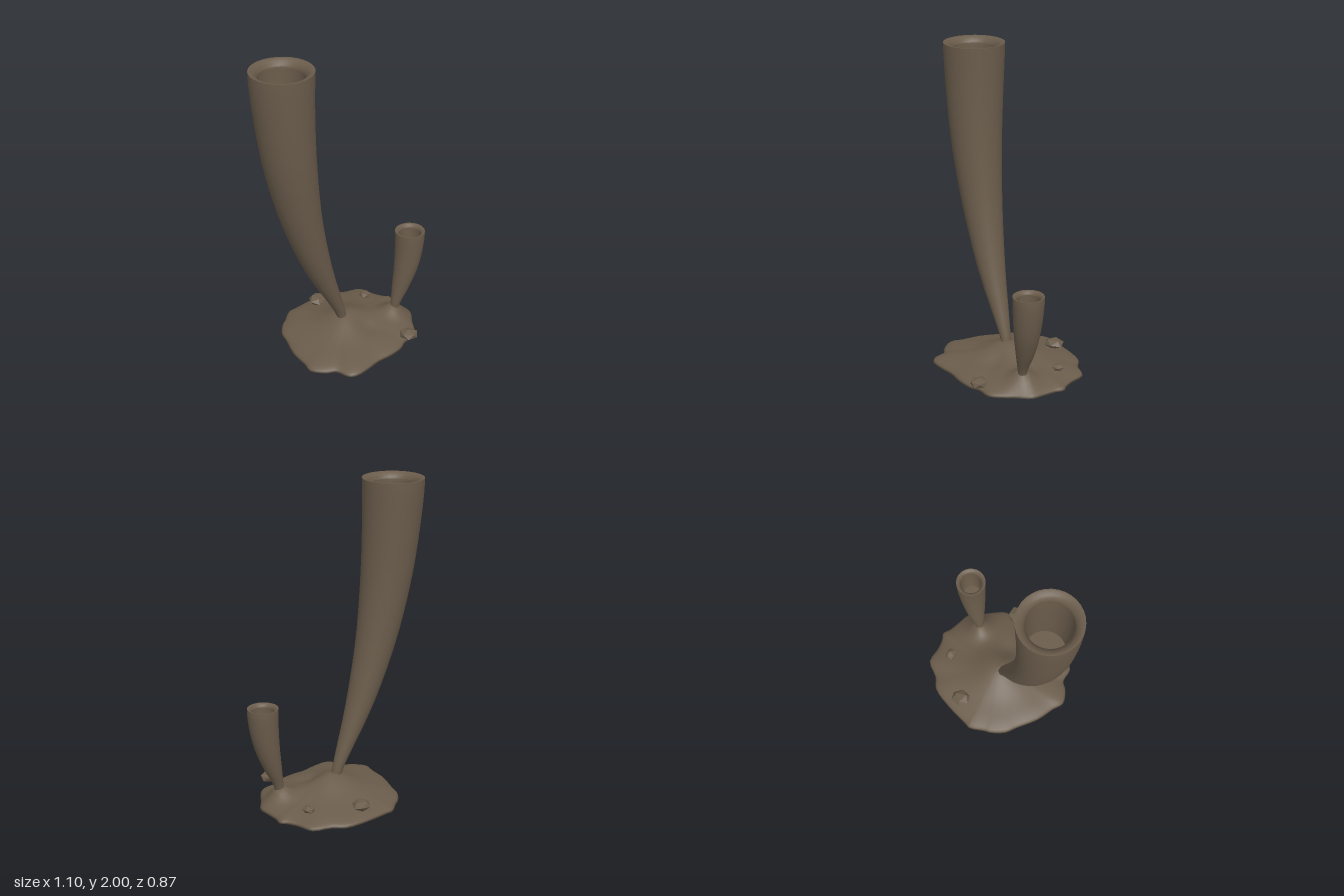
import * as THREE from 'three';

const SEG = 32;

// Skin between closed rings of points; faces point outward when rings run upward.
function loft(rings) {
  const n = rings[0].length, pos = [], index = [];
  rings.forEach((ring) => ring.forEach((p) => pos.push(p.x, p.y, p.z)));
  for (let i = 0; i < rings.length - 1; i++) {
    for (let j = 0; j < n; j++) {
      const k = (j + 1) % n;
      const a = i * n + j, b = i * n + k, c = a + n, d = b + n;
      index.push(a, c, b, b, c, d);
    }
  }
  const geo = new THREE.BufferGeometry();
  geo.setAttribute('position', new THREE.Float32BufferAttribute(pos, 3));
  geo.setIndex(index);
  geo.computeVertexNormals();
  return geo;
}

function circle(c, y, r) {
  return Array.from({ length: SEG }, (_, j) => {
    const a = (j / SEG) * Math.PI * 2;
    return new THREE.Vector3(c.x + r * Math.cos(a), y, c.z + r * Math.sin(a));
  });
}

// Curved horn; stations are [x, y, z, radius] from base to mouth.
function makeHorn(name, stations, material) {
  const path = new THREE.CatmullRomCurve3(stations.map((s) => new THREE.Vector3(s[0], s[1], s[2])));
  const width = new THREE.CatmullRomCurve3(stations.map((s) => new THREE.Vector3(s[3], s[1], 0)));
  const section = (t, k) => {
    const p = path.getPoint(t);
    return circle(p, p.y, width.getPoint(t).x * k);
  };
  const top = path.getPoint(1), R = width.getPoint(1).x;
  const wall = [], inside = [];
  for (let i = 0; i <= 24; i++) wall.push(section(i / 24, 1));
  // Rounded lip running from the outer edge into the mouth
  const lip = [[1, 0], [0.93, 0], [0.83, 0.05], [0.75, 0.14], [0.72, 0.25]]
    .map(([k, drop]) => circle(top, top.y - drop * R, R * k));
  // Hollow and its floor
  inside.push(lip[lip.length - 1]);
  for (let i = 1; i <= 10; i++) inside.push(section(0.94 - i * 0.034, 0.72));
  const floor = [inside[inside.length - 1], section(0.6, 0.001)];

  const horn = new THREE.Group();
  horn.name = name;
  [['outerWall', wall], ['lip', lip], ['hollow', inside], ['hollowFloor', floor]].forEach(([part, rings]) => {
    const mesh = new THREE.Mesh(loft(rings), material);
    mesh.name = part;
    horn.add(mesh);
  });
  return horn;
}

// Height of the mound's upper surface; t is 0 at the middle and 1 at the edge.
function moundHeight(x, z, t) {
  const bump = (cx, cz, h, w) => h * Math.exp(-((x - cx) ** 2 + (z - cz) ** 2) / (w * w));
  return 0.045 + 0.07 * Math.sqrt(Math.max(0, 1 - t * t))
    + bump(0.07, -0.01, 0.085, 0.17) + bump(0.365, 0.16, 0.08, 0.09) * (1 - t ** 8)
    + bump(0.1, 0.13, -0.03, 0.08);
}

function makeMound(material) {
  const outline = [
    [0, -0.437], [0.04, -0.43], [0.21, -0.4], [0.345, -0.355], [0.4, -0.29], [0.5, -0.225],
    [0.51, -0.12], [0.528, -0.05], [0.55, -0.01], [0.528, 0.04], [0.51, 0.12], [0.49, 0.2],
    [0.41, 0.27], [0.36, 0.32], [0.29, 0.37], [0.2, 0.36], [0.13, 0.378], [0.03, 0.37],
    [-0.07, 0.345], [-0.17, 0.34], [-0.26, 0.325], [-0.3, 0.29], [-0.31, 0.2], [-0.355, 0.16],
    [-0.4, 0.07], [-0.37, 0], [-0.33, -0.12], [-0.25, -0.25], [-0.21, -0.32], [-0.13, -0.38], [-0.09, -0.395],
  ];
  const edge = new THREE.CatmullRomCurve3(outline.map(([x, z]) => new THREE.Vector3(x, 0, z)), true)
    .getPoints(93).slice(0, 93);
  const cx = 0.07, cz = -0.01;
  const ring = (t, height) => edge.map((p) => {
    const x = cx + (p.x - cx) * t, z = cz + (p.z - cz) * t;
    return new THREE.Vector3(x, height(x, z, t), z);
  });
  const rings = [];
  // Shallow underside, then the rounded edge and the top
  [0.001, 0.3, 0.6, 0.8, 0.93, 1].forEach((t) => rings.push(ring(t, () => 0.045 * t * t)));
  [0.985, 0.96, 0.92, 0.86].forEach((t) => rings.push(ring(t, moundHeight)));
  for (let i = 16; i >= 1; i--) rings.push(ring(i * 0.05, moundHeight));
  rings.push(ring(0.001, moundHeight));
  const mesh = new THREE.Mesh(loft(rings), material);
  mesh.name = 'mound';
  return mesh;
}

export function createModel() {
  const model = new THREE.Group();
  model.name = 'hornsOnMound';
  const earth = new THREE.MeshStandardMaterial({ color: 0x6a5c4b });
  earth.name = 'earthBrown';

  model.add(makeMound(earth));

  model.add(makeHorn('tallHorn', [
    [0.04, 0.12, -0.018, 0.026], [0.028, 0.2, -0.022, 0.032], [-0.14, 0.6, -0.063, 0.085],
    [-0.26, 1, -0.095, 0.125], [-0.332, 1.4, -0.115, 0.157], [-0.36, 1.75, -0.128, 0.177],
    [-0.366, 1.94, -0.132, 0.186], [-0.366, 2, -0.132, 0.187],
  ], earth));

  model.add(makeHorn('shortHorn', [
    [0.36, 0.12, 0.155, 0.024], [0.367, 0.18, 0.161, 0.031], [0.4, 0.3, 0.175, 0.056],
    [0.428, 0.43, 0.19, 0.076], [0.445, 0.56, 0.198, 0.088], [0.45, 0.66, 0.2, 0.094], [0.45, 0.7, 0.2, 0.094],
  ], earth));

  // Loose faceted stones: x, y, z, radius, turn
  [[0.16, 0.115, -0.32, 0.062, 0.4], [0.4, 0.113, -0.11, 0.041, 1.3], [0.213, 0.113, 0.375, 0.06, 2.2]]
    .forEach(([x, y, z, r, turn]) => {
      const geo = new THREE.IcosahedronGeometry(r, 0);
      geo.rotateX(turn);
      geo.scale(1.05, 0.52, 0.95);
      geo.computeVertexNormals(); // unshared corners keep the facets flat
      const stone = new THREE.Mesh(geo, earth);
      stone.name = 'stone';
      stone.position.set(x, y, z);
      stone.rotation.y = turn;
      model.add(stone);
    });

  return model;
}
